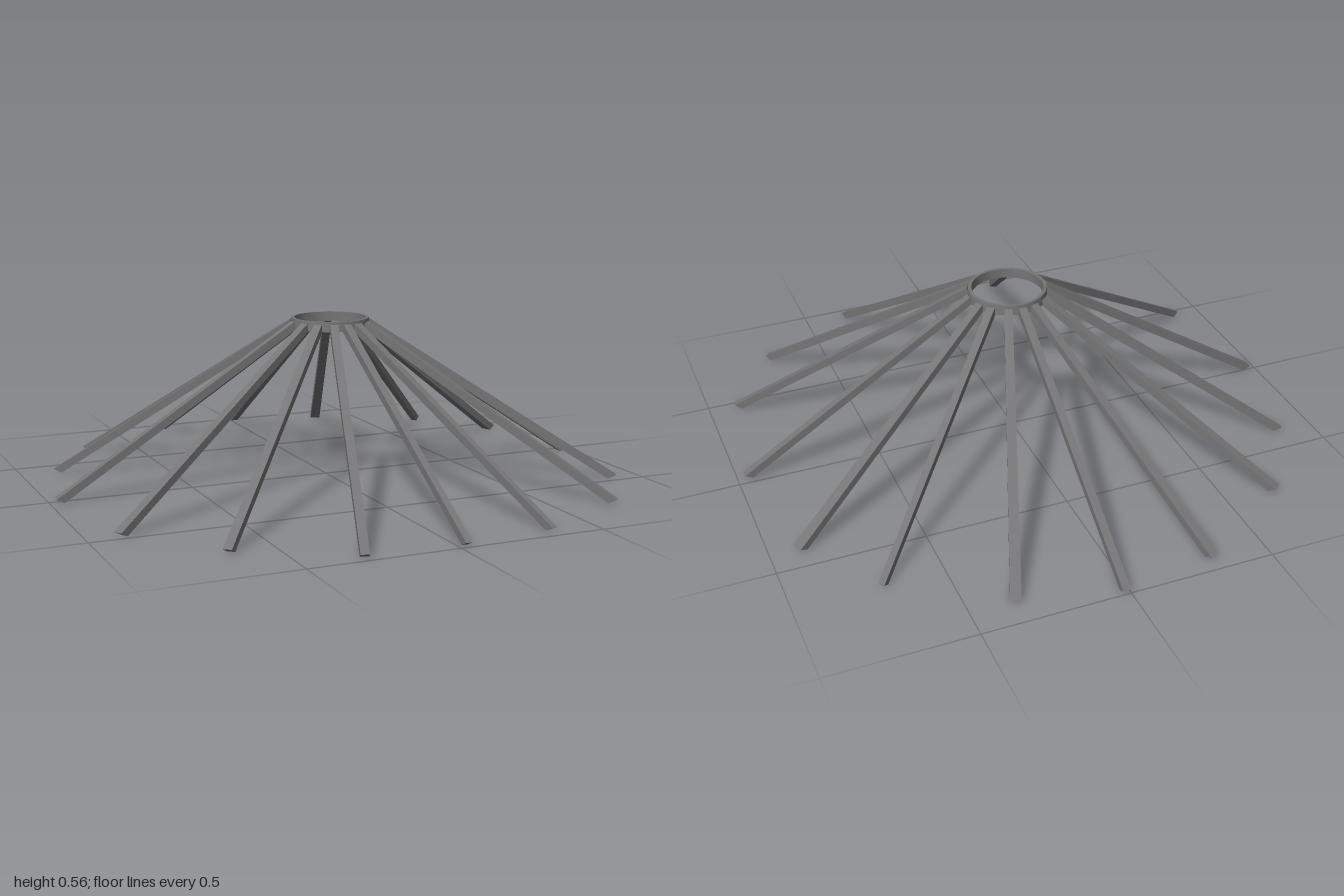
import * as THREE from 'three';

const material = new THREE.MeshStandardMaterial({ color: 0x757575 });

const HUB = new THREE.Vector3(0.011, 0.548, 0.012);
const HUB_RADIUS = 0.134;
const HUB_WIDTH = 0.028;
const THICKNESS = 0.026;
const END_SLANT = 0.6;

// outer end of every pole: x, z, width
const TIPS = [
  [0.014, -1.0, 0.027], [0.352, -0.914, 0.036], [0.715, -0.692, 0.022], [0.91, -0.416, 0.038],
  [0.975, 0.037, 0.029], [0.903, 0.477, 0.028], [0.714, 0.764, 0.023], [0.347, 0.963, 0.021],
  [0.027, 1.0, 0.021], [-0.308, 0.985, 0.028], [-0.657, 0.776, 0.029], [-0.903, 0.479, 0.032],
  [-0.98, 0.013, 0.032], [-0.882, -0.402, 0.019], [-0.688, -0.71, 0.034], [-0.318, -0.951, 0.032],
];

// squared pole whose width changes from the hub to the tip, cut slanted at the ground
function makePole(start, end, tipWidth) {
  const direction = end.clone().sub(start);
  const length = direction.length();
  direction.normalize();
  const geometry = new THREE.BoxGeometry(1, length, 1);
  const position = geometry.attributes.position;
  for (let i = 0; i < position.count; i++) {
    const t = position.getY(i) / length + 0.5;
    const width = THREE.MathUtils.lerp(HUB_WIDTH, tipWidth, t);
    const z = position.getZ(i) * THICKNESS;
    position.setXYZ(i, position.getX(i) * width, position.getY(i) - t * END_SLANT * z, z);
  }
  // lay the width level and point the length from hub to tip
  const side = new THREE.Vector3(0, 1, 0).cross(direction).normalize();
  const normal = side.clone().cross(direction);
  geometry.applyMatrix4(new THREE.Matrix4().makeBasis(side, direction, normal));
  geometry.computeVertexNormals();
  const mesh = new THREE.Mesh(geometry, material);
  mesh.position.copy(start).add(end).multiplyScalar(0.5);
  return mesh;
}

export function createModel() {
  const model = new THREE.Group();
  model.name = 'conicalRoofFrame';

  // poles fanning down from the crown ring
  const poles = new THREE.Group();
  poles.name = 'roofPoles';
  TIPS.forEach(([x, z, width], i) => {
    const out = new THREE.Vector3(x - HUB.x, 0, z - HUB.z).normalize();
    const start = HUB.clone().addScaledVector(out, HUB_RADIUS);
    const end = new THREE.Vector3(x, 0.012, z).addScaledVector(out, -0.014);
    const pole = makePole(start, end, width);
    pole.name = 'roofPole' + (i + 1);
    poles.add(pole);
  });
  model.add(poles);

  // crown ring around the smoke hole, one lathe per face to keep its edges sharp
  const corners = [[0.124, 0.534], [0.138, 0.534], [0.135, 0.568], [0.124, 0.568]];
  const ring = new THREE.Group();
  ring.name = 'crownRing';
  corners.forEach((corner, i) => {
    const next = corners[(i + 1) % corners.length];
    const profile = [corner, next].map(([r, y]) => new THREE.Vector2(r, y));
    const face = new THREE.Mesh(new THREE.LatheGeometry(profile, 48), material);
    face.name = ['ringUnderside', 'ringOuterWall', 'ringTop', 'ringInnerWall'][i];
    ring.add(face);
  });
  ring.position.set(HUB.x, 0, HUB.z);
  model.add(ring);

  return model;
}
